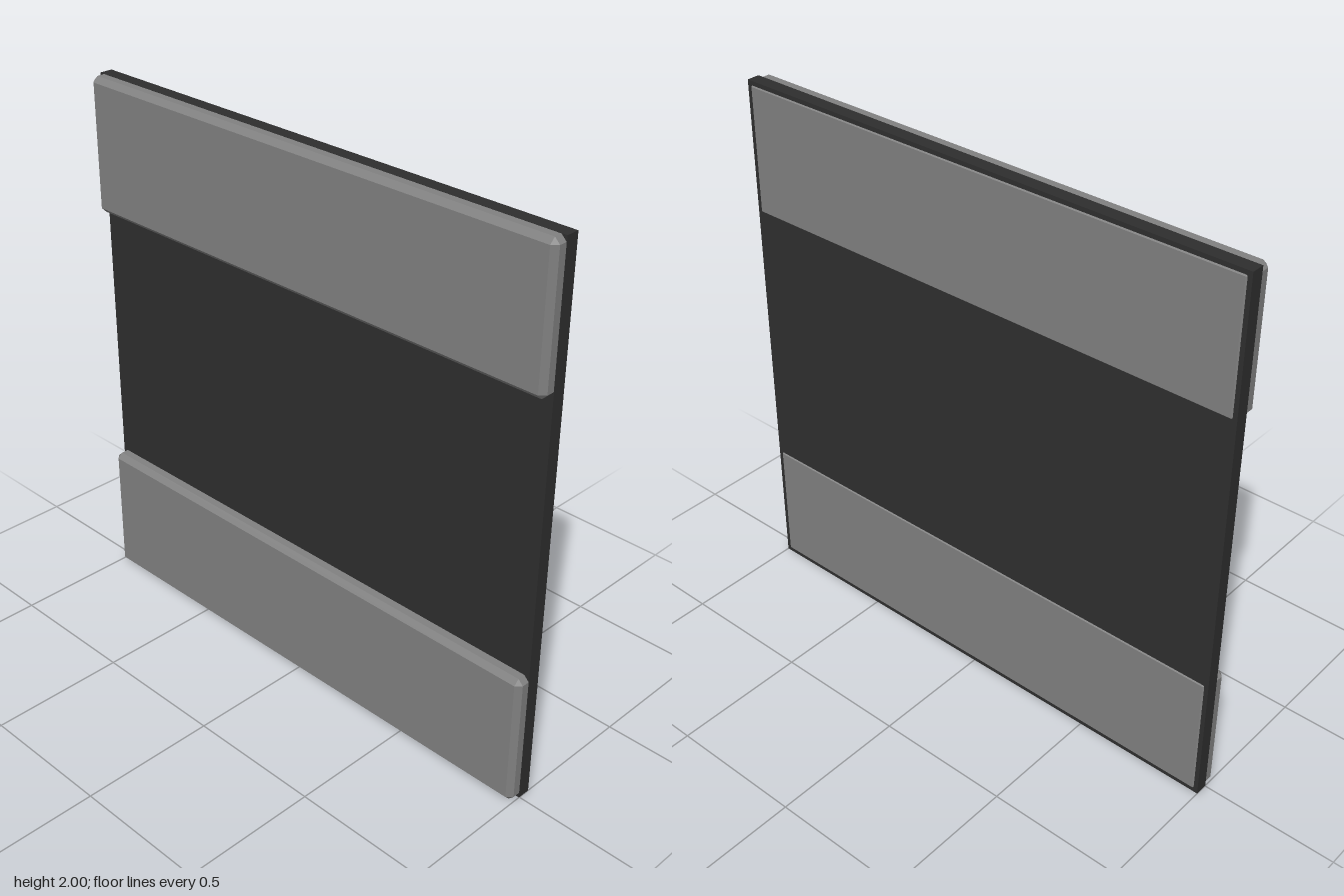
import * as THREE from 'three';
import { ConvexGeometry } from 'three/addons/geometries/ConvexGeometry.js';

// Box with every edge cut at 45 degrees
function chamferedBox(w, h, d, c) {
  const points = [];
  for (const sx of [-1, 1]) for (const sy of [-1, 1]) for (const sz of [-1, 1]) {
    for (const axis of [0, 1, 2]) {
      const [x, y, z] = [w, h, d].map((size, i) => size / 2 - (i === axis ? 0 : c));
      points.push(new THREE.Vector3(sx * x, sy * y, sz * z));
    }
  }
  return new ConvexGeometry(points);
}

export function createModel() {
  const group = new THREE.Group();
  const dark = new THREE.MeshStandardMaterial({ color: 0x2e2e2e });
  const grey = new THREE.MeshStandardMaterial({ color: 0x808080 });

  // Thin square backing panel
  const panel = new THREE.Mesh(new THREE.BoxGeometry(2, 2, 0.048), dark);
  panel.name = 'panel';
  panel.position.set(0, 1, -0.022);
  group.add(panel);

  // Chamfered bands across the bottom and top, a hair inside the panel's rim
  const bandGeometry = chamferedBox(1.998, 0.498, 0.1, 0.019);
  for (const [name, y] of [['lowerBand', 0.25], ['upperBand', 1.75]]) {
    const band = new THREE.Mesh(bandGeometry, grey);
    band.name = name;
    band.position.y = y;
    group.add(band);
  }
  return group;
}
